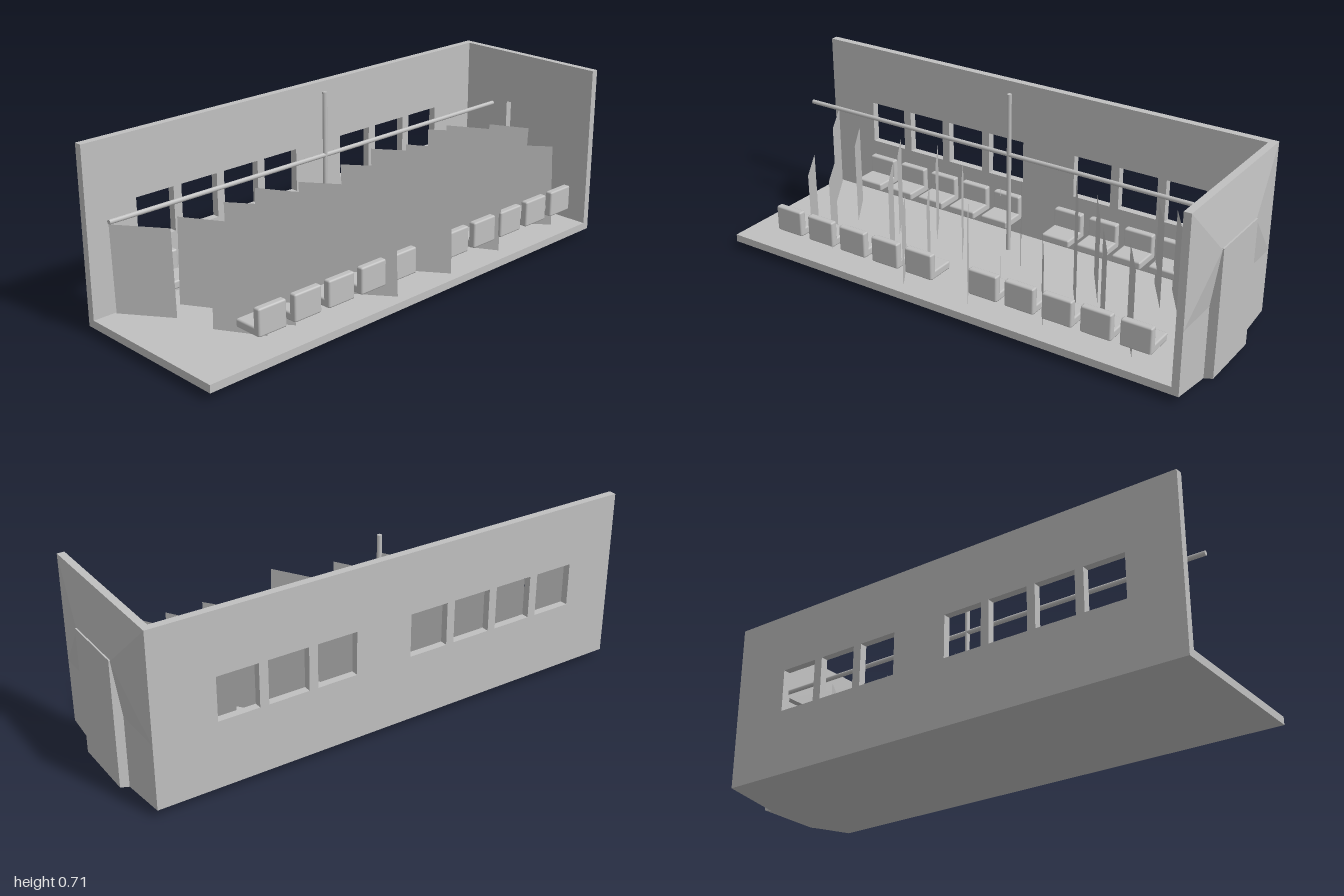
import * as THREE from 'three';
import { ConvexGeometry } from 'three/addons/geometries/ConvexGeometry.js';
import { RoundedBoxGeometry } from 'three/addons/geometries/RoundedBoxGeometry.js';

const W = 0.335, BACK = -0.965;

export function createModel() {
  const model = new THREE.Group();
  const grey = new THREE.MeshStandardMaterial({ color: 0xc0c0c0, side: THREE.DoubleSide });

  const add = (name, geo, parent = model) => {
    const mesh = new THREE.Mesh(geo, grey);
    mesh.name = name;
    parent.add(mesh);
    return mesh;
  };
  // box from its minimum and maximum corners
  const box = (name, a, b, parent) => add(name, new THREE.BoxGeometry(b[0] - a[0], b[1] - a[1], b[2] - a[2])
    .translate((a[0] + b[0]) / 2, (a[1] + b[1]) / 2, (a[2] + b[2]) / 2), parent);
  const rect = (Type, x0, y0, x1, y1) => {
    const p = new Type();
    p.moveTo(x0, y0); p.lineTo(x1, y0); p.lineTo(x1, y1); p.lineTo(x0, y1); p.closePath();
    return p;
  };
  const hull = (name, pts) => add(name, new ConvexGeometry(pts.map(p => new THREE.Vector3(...p))));

  box('floor', [-W, 0.03, BACK], [W, 0.06, 1]);

  // long side wall with seven window openings
  const side = rect(THREE.Shape, -1, 0.03, -BACK, 0.7);
  for (const z of [-0.726, -0.531, -0.336, 0.054, 0.247, 0.44, 0.634]) {
    side.holes.push(rect(THREE.Path, -z - 0.16, 0.29, -z, 0.46));
  }
  add('sideWall', new THREE.ExtrudeGeometry(side, { depth: 0.03, bevelEnabled: false })
    .rotateY(Math.PI / 2).translate(-W, 0, 0));

  // end wall with a doorway, a faceted outer bulge and a door
  const end = rect(THREE.Shape, -W, 0.03, W, 0.7);
  end.holes.push(rect(THREE.Path, -0.09, 0.06, 0.122, 0.488));
  add('endWall', new THREE.ExtrudeGeometry(end, { depth: 0.028, bevelEnabled: false }).translate(0, 0, BACK));
  hull('endWallBulge', [
    [-W, 0.7, BACK], [W, 0.7, BACK], [-W, 0.28, BACK], [W, 0.28, BACK],
    [-0.12, 0.5, -0.995], [0.145, 0.5, -0.995]]);
  hull('endDoor', [-0.12, 0.145].flatMap(x => [
    [x, 0, BACK], [x, 0.01, -1], [x, 0.505, -1], [x, 0.505, BACK]]));
  hull('undersideWedge', [
    [-W, 0.03, BACK], [W, 0.03, BACK], [-0.12, 0, BACK], [0.145, 0, BACK],
    [-0.12, 0.03, -0.75], [0.145, 0.03, -0.75]]);

  // hand rail and upright pole
  add('handRail', new THREE.CylinderGeometry(0.009, 0.009, 1.937, 8)
    .rotateX(Math.PI / 2).translate(-0.168, 0.465, 0.0315));
  add('pole', new THREE.CylinderGeometry(0.009, 0.009, 0.65, 8).translate(-0.168, 0.385, 0.03));

  // two facing rows of seats
  const cushion = new RoundedBoxGeometry(0.118, 0.032, 0.12, 1, 0.007);
  const rest = new RoundedBoxGeometry(0.03, 0.102, 0.12, 1, 0.007);
  for (const z of [-0.79, -0.637, -0.484, -0.331, -0.178, 0.104, 0.258, 0.412, 0.566, 0.722]) {
    for (const s of [-1, 1]) {
      const seat = new THREE.Group();
      seat.name = s > 0 ? 'leftSeat' : 'rightSeat';
      add('cushion', cushion, seat).position.set(-0.001 * s, 0.155, 0);
      add('backrest', rest, seat).position.set(0.045 * s, 0.191, 0);
      seat.position.set(0.015 + s * 0.246, 0, z);
      model.add(seat);
    }
  }

  // crowd of flat upright cards: x, z, width, height, roll
  const crowd = [
    [-0.165, 0.88, 0.22, 0.33, 0.02], [0.165, 0.73, 0.19, 0.285, -0.03],
    [-0.07, 0.69, 0.19, 0.33, -0.02], [-0.07, 0.48, 0.19, 0.33, 0.02],
    [0.173, 0.62, 0.19, 0.285, 0.02], [0.14, 0.36, 0.21, 0.33, 0.03],
    [-0.1, 0.32, 0.19, 0.33, -0.02], [-0.03, 0.15, 0.21, 0.33, 0.02],
    [0.135, 0.19, 0.18, 0.285, -0.03], [0.26, 0.21, 0.18, 0.285, 0.03],
    [0.25, -0.07, 0.2, 0.33, 0.02], [-0.07, -0.09, 0.19, 0.33, 0.03],
    [0.085, -0.1, 0.21, 0.33, -0.02], [-0.12, -0.3, 0.19, 0.33, 0.02],
    [-0.05, -0.43, 0.21, 0.33, -0.02], [0.07, -0.41, 0.19, 0.33, 0.03],
    [0.235, -0.376, 0.19, 0.285, -0.03], [-0.13, -0.64, 0.19, 0.33, 0.02],
    [-0.115, -0.72, 0.18, 0.33, -0.02], [0.02, -0.81, 0.16, 0.36, -0.04],
    [0.15, -0.57, 0.2, 0.33, 0.02], [0.21, -0.71, 0.2, 0.33, 0.03]];
  for (const [x, z, w, h, roll] of crowd) {
    add('passengerCard', new THREE.PlaneGeometry(w, h).rotateZ(roll)
      .rotateY(0.58).translate(x, h > 0.34 ? 0.252 : 0.087 + h / 2, z));
  }
  return model;
}
